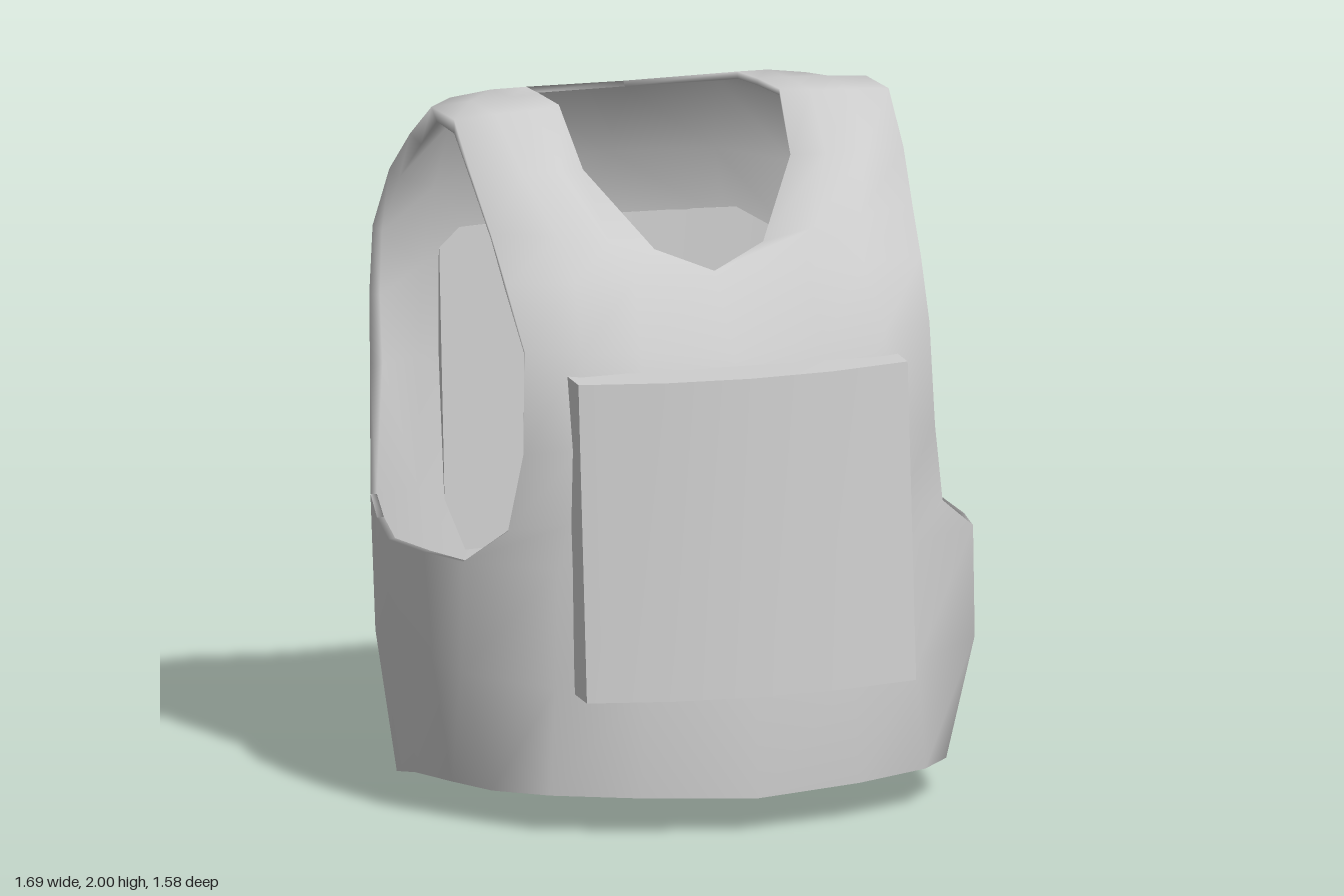
import * as THREE from 'three';

// Left half cross-sections, each from the centre or neck edge out to the arm opening.
// Front: hem up to the shoulder.
const frontRows = [
  [[0, 0.10, 0.77], [0.33, 0.108, 0.70], [0.57, 0.11, 0.585], [0.69, 0.10, 0.42]],
  [[0, 0.42, 0.745], [0.32, 0.42, 0.69], [0.55, 0.42, 0.575], [0.78, 0.45, 0.41]],
  [[0, 0.77, 0.71], [0.32, 0.77, 0.66], [0.54, 0.77, 0.565], [0.775, 0.775, 0.41]],
  [[0, 0.92, 0.69], [0.31, 0.92, 0.65], [0.50, 0.90, 0.57], [0.66, 0.87, 0.475]],
  [[0, 1.14, 0.645], [0.30, 1.14, 0.63], [0.48, 1.12, 0.595], [0.625, 1.10, 0.51]],
  [[0, 1.36, 0.555], [0.28, 1.38, 0.545], [0.46, 1.39, 0.545], [0.615, 1.40, 0.49]],
  [[0, 1.57, 0.38], [0.26, 1.57, 0.425], [0.44, 1.57, 0.425], [0.63, 1.57, 0.37]],
  [[0.165, 1.635, 0.33], [0.31, 1.67, 0.35], [0.46, 1.69, 0.335], [0.64, 1.70, 0.265]],
  [[0.315, 1.84, 0.135], [0.40, 1.85, 0.195], [0.52, 1.855, 0.2], [0.655, 1.84, 0.145]],
  [[0.335, 2.0, -0.02], [0.42, 1.997, 0.01], [0.54, 1.992, 0.01], [0.66, 1.983, 0]],
];
// Back: shoulder down to the hem.
const backRows = [
  [[0.33, 1.995, -0.2], [0.42, 1.993, -0.2], [0.54, 1.989, -0.2], [0.66, 1.98, -0.2]],
  [[0.32, 1.985, -0.35], [0.42, 1.98, -0.37], [0.54, 1.96, -0.39], [0.67, 1.87, -0.36]],
  [[0, 1.965, -0.425], [0.30, 1.95, -0.47], [0.52, 1.88, -0.485], [0.70, 1.75, -0.455]],
  [[0, 1.74, -0.575], [0.32, 1.73, -0.565], [0.55, 1.68, -0.55], [0.725, 1.57, -0.53]],
  [[0, 1.51, -0.655], [0.38, 1.50, -0.63], [0.58, 1.44, -0.59], [0.735, 1.37, -0.53]],
  [[0, 1.17, -0.66], [0.38, 1.17, -0.64], [0.59, 1.17, -0.585], [0.745, 1.17, -0.495]],
  [[0, 0.80, -0.63], [0.38, 0.80, -0.60], [0.61, 0.80, -0.51], [0.79, 0.82, -0.36]],
  [[0, 0.42, -0.57], [0.36, 0.42, -0.545], [0.60, 0.42, -0.47], [0.775, 0.42, -0.36]],
  [[0, 0.06, -0.50], [0.36, 0.005, -0.46], [0.56, 0, -0.44], [0.71, 0, -0.36]],
];
// Side band under the arm: hem, waist and arm opening, running front to back.
const sideRows = [
  [[0.735, 0.085, 0.2], [0.77, 0.07, -0.02], [0.75, 0.035, -0.2]],
  [[0.795, 0.45, 0.2], [0.80, 0.45, -0.04], [0.795, 0.44, -0.2]],
  [[0.82, 0.765, 0.2], [0.845, 0.755, -0.04], [0.825, 0.785, -0.2]],
];

// Joins the half sections and their mirror image into one welded surface.
function buildSurface() {
  const points = [], faces = [], lookup = new Map();
  const vertex = (p, side) => {
    const q = [p[0] * side, p[1], p[2]];
    const key = q.map((v) => Math.round(v * 1000)).join(',');
    if (!lookup.has(key)) {
      lookup.set(key, points.length);
      points.push(new THREE.Vector3(...q));
    }
    return lookup.get(key);
  };
  const addGrid = (rows, side) => {
    for (let r = 0; r + 1 < rows.length; r++) {
      for (let c = 0; c + 1 < rows[r].length; c++) {
        const quad = [rows[r][c], rows[r][c + 1], rows[r + 1][c + 1], rows[r + 1][c]]
          .map((p) => vertex(p, side));
        if (side < 0) quad.reverse();
        const [a, b, d, e] = quad;
        faces.push([a, b, d], [a, d, e]);
      }
    }
  };
  const last = backRows.length - 1;
  const band = sideRows.map((row, i) => [frontRows[i][3], ...row, backRows[last - i][3]]);
  for (const side of [1, -1]) {
    addGrid([...frontRows, ...backRows], side);
    addGrid(band, side);
  }
  return { points, faces };
}

function makeGeometry(points, faces) {
  const geometry = new THREE.BufferGeometry().setFromPoints(points);
  geometry.setIndex(faces.flat());
  geometry.computeVertexNormals();
  return geometry;
}

// Cloth is thin at the neck and hem, padded towards the arm openings.
function thicknessAt(p) {
  const padding = THREE.MathUtils.smoothstep(Math.abs(p.x), 0.45, 0.65)
    * THREE.MathUtils.smoothstep(p.y, 0.8, 1.1);
  return 0.02 + 0.025 * padding;
}

// Shell, lining and the edging between them, welded so the rims look soft.
function makeShell() {
  const { points, faces } = buildSurface();
  const normals = makeGeometry(points, faces).attributes.normal;
  const inside = points.map((p, i) => new THREE.Vector3()
    .fromBufferAttribute(normals, i).multiplyScalar(-thicknessAt(p)).add(p));
  const n = points.length;
  const lining = faces.map(([a, b, c]) => [a + n, c + n, b + n]);

  const edges = new Set(), edging = [];
  for (const f of faces) f.forEach((a, i) => edges.add(`${a},${f[(i + 1) % 3]}`));
  for (const edge of edges) {
    const [a, b] = edge.split(',').map(Number);
    if (!edges.has(`${b},${a}`)) edging.push([b, a, a + n], [b, a + n, b + n]);
  }
  return makeGeometry([...points, ...inside], [...faces, ...lining, ...edging]);
}

// Curved pouch: bowed on both faces, leaning between bottom and top, sunk into the shell.
function makePouch({ width, bottom, top, innerBottom, innerTop, bow, innerBow, facing, tilt }) {
  const geometry = new THREE.BoxGeometry(1, 1, 1, 4, 1, 1);
  const pos = geometry.attributes.position;
  for (let i = 0; i < pos.count; i++) {
    const u = pos.getX(i), t = pos.getY(i) + 0.5;
    const outside = pos.getZ(i) * facing > 0;
    const z = outside
      ? THREE.MathUtils.lerp(bottom.z, top.z, t) - bow * 4 * u * u
      : THREE.MathUtils.lerp(innerBottom, innerTop, t) - innerBow * 4 * u * u;
    const y = THREE.MathUtils.lerp(bottom.y, top.y, t) + (outside ? 0 : tilt);
    pos.setXYZ(i, u * width, y, facing * z);
  }
  geometry.computeVertexNormals();
  return geometry;
}

export function createModel() {
  const fabric = new THREE.MeshStandardMaterial({ color: 0xcccccc });
  fabric.name = 'light grey fabric';
  const vest = new THREE.Group();
  vest.name = 'vest';
  const add = (name, geometry) => {
    const mesh = new THREE.Mesh(geometry, fabric);
    mesh.name = name;
    vest.add(mesh);
  };

  add('shell', makeShell());

  // Front and back pouches
  add('frontPouch', makePouch({
    width: 1.0, bottom: { y: 0.4, z: 0.785 }, top: { y: 1.32, z: 0.71 },
    innerBottom: 0.62, innerTop: 0.56, bow: 0.078, innerBow: 0.06, facing: 1, tilt: 0.008,
  }));
  add('backPouch', makePouch({
    width: 1.02, bottom: { y: 0.575, z: 0.71 }, top: { y: 1.51, z: 0.79 },
    innerBottom: 0.56, innerTop: 0.62, bow: 0.08, innerBow: 0.05, facing: -1, tilt: 0.025,
  }));
  return vest;
}
